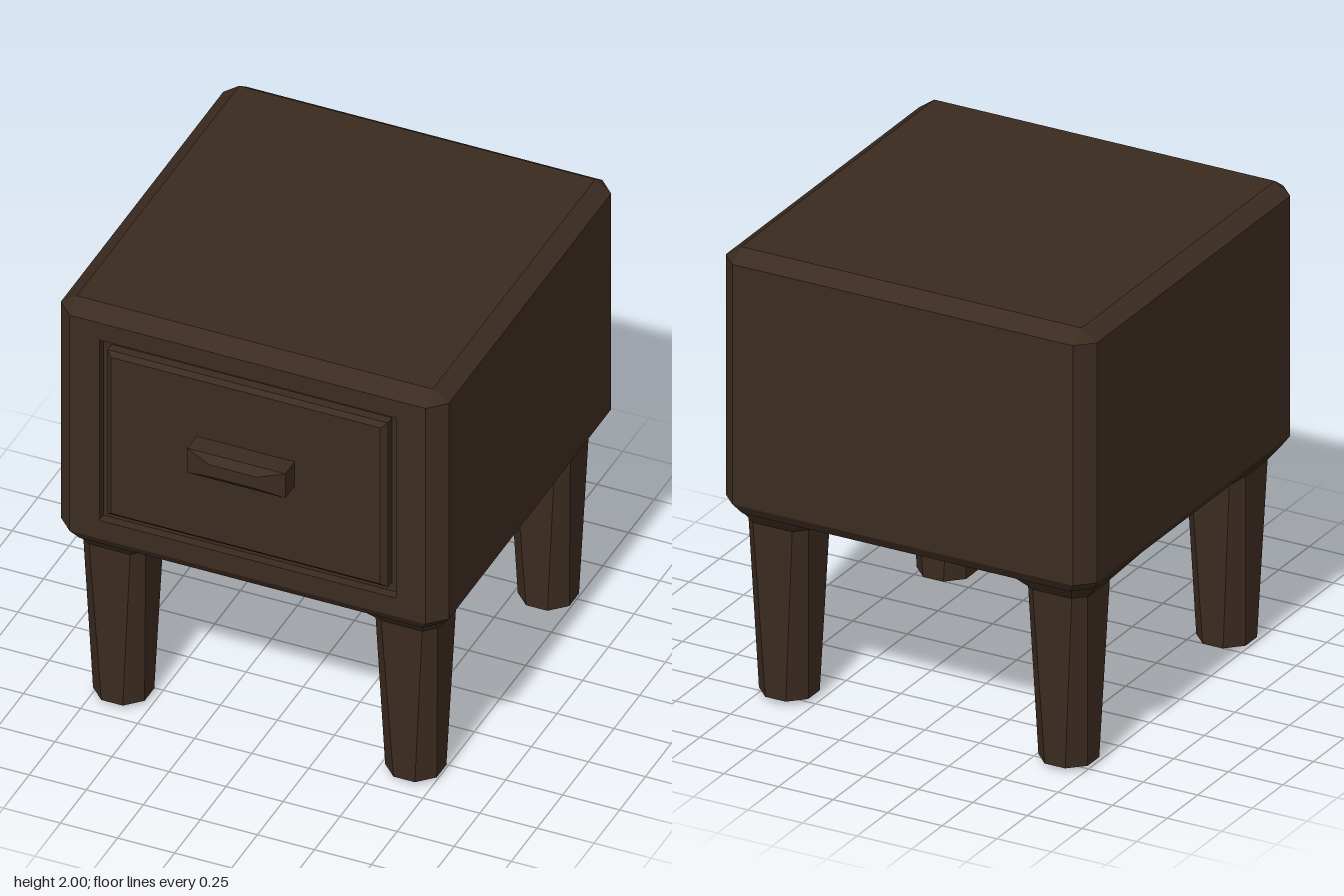
import * as THREE from 'three';

const wood = new THREE.MeshStandardMaterial({ color: 0x3b2b20, flatShading: true });

// Rectangle in plan with chamfered corners, counter-clockwise from above
function ring(y, x0, x1, z0, z1, c = 0) {
  return [
    [x0 + c, z1], [x1 - c, z1], [x1, z1 - c], [x1, z0 + c],
    [x1 - c, z0], [x0 + c, z0], [x0, z0 + c], [x0, z1 - c],
  ].map(([x, z]) => new THREE.Vector3(x, y, z));
}

// Closed skin through rings ordered from low to high; skip(level, side) leaves a panel open
function loft(rings, skip = () => false) {
  const pos = [];
  const tri = (a, b, c) => {
    const area = b.clone().sub(a).cross(c.clone().sub(a)).length();
    if (area > 1e-7) for (const p of [a, b, c]) pos.push(p.x, p.y, p.z);
  };
  const n = rings[0].length, top = rings[rings.length - 1], low = rings[0];
  for (let k = 0; k < rings.length - 1; k++) {
    for (let i = 0; i < n; i++) {
      if (skip(k, i)) continue;
      const j = (i + 1) % n, a = rings[k], b = rings[k + 1];
      tri(a[i], a[j], b[j]);
      tri(a[i], b[j], b[i]);
    }
  }
  for (let i = 1; i < n - 1; i++) {
    tri(top[0], top[i], top[i + 1]);
    tri(low[0], low[i + 1], low[i]);
  }
  const g = new THREE.BufferGeometry();
  g.setAttribute('position', new THREE.Float32BufferAttribute(pos, 3));
  g.computeVertexNormals();
  return g;
}

function add(parent, name, geometry) {
  const mesh = new THREE.Mesh(geometry, wood);
  mesh.name = name;
  parent.add(mesh);
  return mesh;
}

// Rectangular block facing +z, lofted through [z, halfWidth, yLow, yHigh] sections
function frontBlock(sections) {
  return loft(sections.map(([z, w, lo, hi]) => ring(z, -w, w, -hi, -lo))).rotateX(Math.PI / 2);
}

// Leg cross-section around its own centre
const legRing = (y, h, f) => ring(y, -h, h, -h, h, h - f);

// Flared bracket between cabinet floor and leg; local +x and +z point outwards
function bracketRing() {
  return [
    [-0.15, 0.18], [0.11, 0.18], [0.18, 0.11], [0.18, -0.29],
    [0.16, -0.29], [-0.29, 0.16], [-0.29, 0.18], [-0.22, 0.18],
  ].map(([x, z]) => new THREE.Vector3(x, 0.846, z));
}

// Mirror a geometry in plan and keep its faces turned outwards
function mirrored(geometry, sx, sz) {
  const g = geometry.clone().scale(sx, 1, sz);
  if (sx * sz < 0) {
    const p = g.attributes.position;
    for (let i = 0; i < p.count; i += 3) {
      const b = new THREE.Vector3().fromBufferAttribute(p, i + 1);
      const c = new THREE.Vector3().fromBufferAttribute(p, i + 2);
      p.setXYZ(i + 1, c.x, c.y, c.z);
      p.setXYZ(i + 2, b.x, b.y, b.z);
    }
  }
  g.computeVertexNormals();
  return g;
}

export function createModel() {
  const model = new THREE.Group();
  model.name = 'nightstand';

  // Cabinet with chamfered edges, open at the front panel
  add(model, 'cabinet', loft([
    ring(0.845, -0.82, 0.82, -0.9, 0.76, 0.07),
    ring(0.89, -0.85, 0.85, -0.93, 0.79, 0.07),
    ring(1.95, -0.85, 0.85, -0.93, 0.79, 0.07),
    ring(2, -0.78, 0.78, -0.86, 0.72),
  ], (level, side) => level === 1 && side === 0));

  // Front frame around the drawer opening
  const rect = (Type, w, lo, hi) => new Type([
    new THREE.Vector2(-w, lo), new THREE.Vector2(w, lo),
    new THREE.Vector2(w, hi), new THREE.Vector2(-w, hi),
  ]);
  const frame = rect(THREE.Shape, 0.78, 0.89, 1.95);
  frame.holes.push(rect(THREE.Path, 0.65, 0.98, 1.865));
  add(model, 'frontFrame', new THREE.ExtrudeGeometry(frame, { depth: 0.04, bevelEnabled: false }))
    .position.z = 0.75;
  add(model, 'recessBack', new THREE.BoxGeometry(1.4, 0.95, 0.02)).position.set(0, 1.42, 0.74);

  // Drawer front and its pull
  const drawer = new THREE.Group();
  drawer.name = 'drawer';
  model.add(drawer);
  add(drawer, 'drawerFront', frontBlock([
    [0.745, 0.615, 1.025, 1.83], [0.79, 0.615, 1.025, 1.83], [0.81, 0.59, 1.045, 1.812],
  ]));
  add(drawer, 'drawerPull', frontBlock([
    [0.8, 0.215, 1.415, 1.535], [0.9, 0.215, 1.415, 1.535], [0.93, 0.105, 1.447, 1.505],
  ]));

  // Four tapered legs with flared brackets
  const legTop = legRing(0.79, 0.137, 0.09);
  const legGeometry = loft([legRing(0, 0.07, 0.03), legRing(0.02, 0.113, 0.047), legTop]);
  const bracketGeometry = loft([legTop, bracketRing()]);
  for (const sx of [-1, 1]) {
    for (const sz of [-1, 1]) {
      const corner = new THREE.Group();
      corner.name = (sz > 0 ? 'front' : 'back') + (sx > 0 ? 'Left' : 'Right') + 'Leg';
      corner.position.set(sx * 0.64, 0, sz * 0.645 - 0.07);
      add(corner, 'leg', legGeometry);
      add(corner, 'bracket', mirrored(bracketGeometry, sx, sz));
      model.add(corner);
    }
  }
  return model;
}
